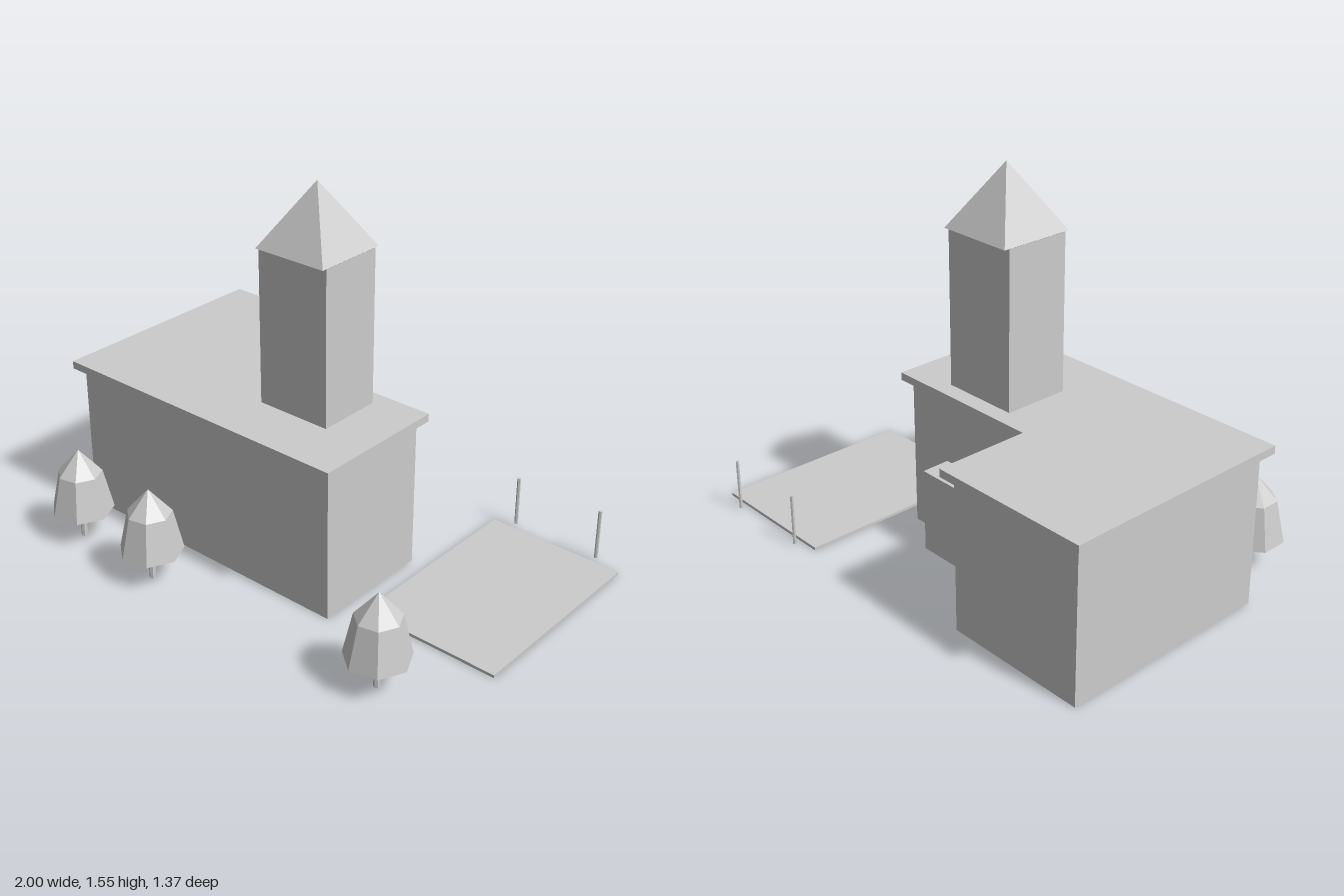
import * as THREE from 'three';

export function createModel() {
  const model = new THREE.Group();
  model.name = 'towerBuilding';
  const grey = new THREE.MeshStandardMaterial({ color: 0xcccccc, flatShading: true, side: THREE.DoubleSide });
  grey.name = 'plain grey';

  const add = (name, geometry, parent = model) => {
    const mesh = new THREE.Mesh(geometry, grey);
    mesh.name = name;
    parent.add(mesh);
    return mesh;
  };

  // Box given by its bounds; 'open' lists the sides left out
  const sides = ['right', 'left', 'top', 'bottom', 'front', 'back'];
  const block = (name, [x0, x1], [y0, y1], [z0, z1], open = []) => {
    const geo = new THREE.BoxGeometry(x1 - x0, y1 - y0, z1 - z0);
    const index = Array.from(geo.index.array);
    geo.setIndex(index.filter((_, i) => !open.includes(sides[Math.floor(i / 6)])));
    geo.clearGroups();
    geo.translate((x0 + x1) / 2, (y0 + y1) / 2, (z0 + z1) / 2);
    return add(name, geo);
  };

  // Walls: hollow shells standing on the ground
  block('mainHall', [-0.965, 0.33], [0, 0.625], [-0.195, 0.32], ['top', 'bottom']);
  block('rearWing', [-0.965, -0.365], [0, 0.625], [-0.585, -0.195], ['top', 'bottom', 'front']);
  block('rearPorch', [-0.17, 0.133], [0, 0.345], [-0.315, -0.195], ['bottom', 'front']);

  // L-shaped flat roof, drawn with y = -z and laid down
  const plan = new THREE.Shape([
    [-1, -0.355], [0.36, -0.355], [0.36, 0.23], [-0.33, 0.23], [-0.33, 0.62], [-1, 0.62],
  ].map(([x, y]) => new THREE.Vector2(x, y)));
  const roof = new THREE.ExtrudeGeometry(plan, { depth: 0.032, bevelEnabled: false });
  roof.rotateX(-Math.PI / 2);
  roof.translate(0, 0.625, 0);
  add('flatRoof', roof);

  // Tower with a pyramid cap
  block('tower', [-0.182, 0.144], [0.657, 1.295], [-0.16, 0.115], ['top', 'bottom']);
  const cap = new THREE.ConeGeometry(Math.SQRT1_2, 1, 4);
  cap.rotateY(Math.PI / 4);
  cap.scale(0.324, 0.257, 0.314);
  cap.translate(-0.019, 1.295 + 0.257 / 2, -0.024);
  add('towerCap', cap);

  // Paved court with two posts behind it
  block('court', [0.413, 1], [0, 0.012], [-0.645, 0.2]);
  for (const x of [0.497, 0.877]) {
    const post = add('courtPost', new THREE.CylinderGeometry(0.0075, 0.0075, 0.215, 6));
    post.position.set(x, 0.1175, -0.681);
  }

  // Seven-sided trees with hollow crowns
  const crownProfile = [[0.128, 0.125], [0.09, 0.295], [0, 0.397]].map(([r, y]) => new THREE.Vector2(r, y));
  const crown = new THREE.LatheGeometry(crownProfile, 7, Math.PI / 2);
  const trunk = new THREE.CylinderGeometry(0.0135, 0.0135, 0.13, 7);
  trunk.translate(0, 0.065, 0);
  for (const [x, z] of [[-0.795, 0.53], [-0.364, 0.556], [0.716, 0.503]]) {
    const tree = new THREE.Group();
    tree.name = 'tree';
    tree.position.set(x, 0, z);
    add('crown', crown, tree);
    add('trunk', trunk, tree);
    model.add(tree);
  }

  return model;
}
